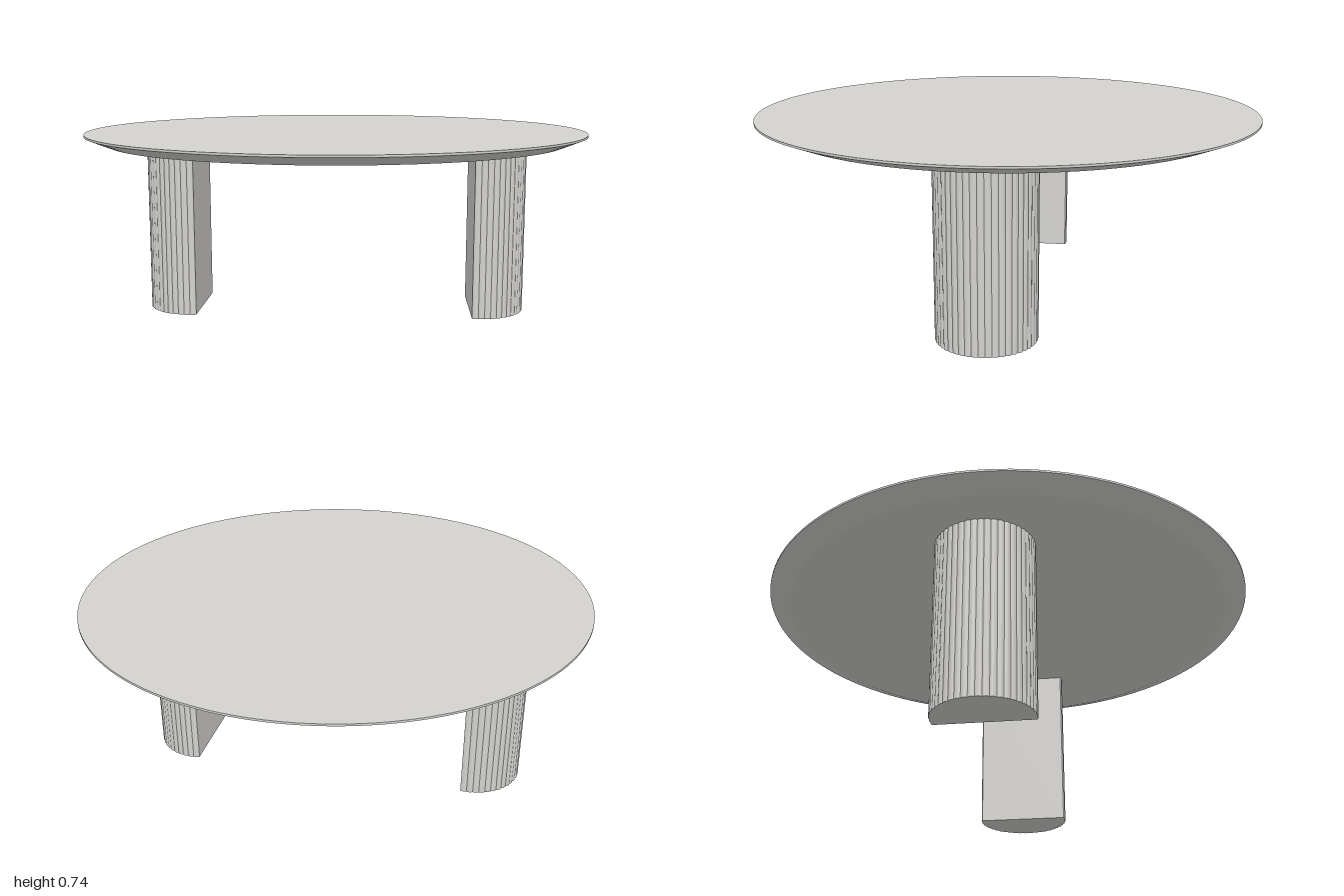
import * as THREE from 'three';

const stone = new THREE.MeshStandardMaterial({ color: 0xd4d3d0 });
stone.name = 'pale stone';

const TOP = 0.739, UNDER = 0.697;

// Profile rings of the top, each band with its own hard edges
function makeTabletop() {
  const group = new THREE.Group();
  group.name = 'tabletop';
  const rings = [[0, UNDER], [0.915, UNDER], [1, 0.731], [1, TOP], [0, TOP]];
  const names = ['underside', 'bevel', 'rim', 'topSurface'];
  names.forEach((name, i) => {
    const points = [rings[i], rings[i + 1]].map(([r, y]) => new THREE.Vector2(r, y));
    const mesh = new THREE.Mesh(new THREE.LatheGeometry(points, 128), stone);
    mesh.name = name;
    group.add(mesh);
  });
  return group;
}

// Half-round column: flat inner face, finely reeded outer face
function makeLeg(side) {
  const radius = 0.19, flat = -0.03, reeds = 26, steps = 4, depth = 0.004;
  const half = Math.acos(flat / radius);
  const shape = new THREE.Shape();
  const count = reeds * steps;
  for (let i = 0; i <= count; i++) {
    const a = -half + (2 * half * i) / count;
    const r = radius - depth * (1 - Math.abs(Math.sin((Math.PI * i) / steps)));
    const x = i === 0 || i === count ? flat : r * Math.cos(a);
    const y = r * Math.sin(a);
    if (i === 0) shape.moveTo(x, y);
    else shape.lineTo(x, y);
  }
  shape.closePath();
  const geometry = new THREE.ExtrudeGeometry(shape, { depth: UNDER, bevelEnabled: false });
  geometry.rotateX(-Math.PI / 2);
  if (side < 0) geometry.rotateY(Math.PI);
  geometry.translate(side * 0.587 - 0.002, 0, -0.007);
  const leg = new THREE.Mesh(geometry, stone);
  leg.name = side > 0 ? 'leftLeg' : 'rightLeg';
  return leg;
}

export function createModel() {
  const table = new THREE.Group();
  table.name = 'roundTable';
  table.add(makeTabletop(), makeLeg(1), makeLeg(-1));
  return table;
}
